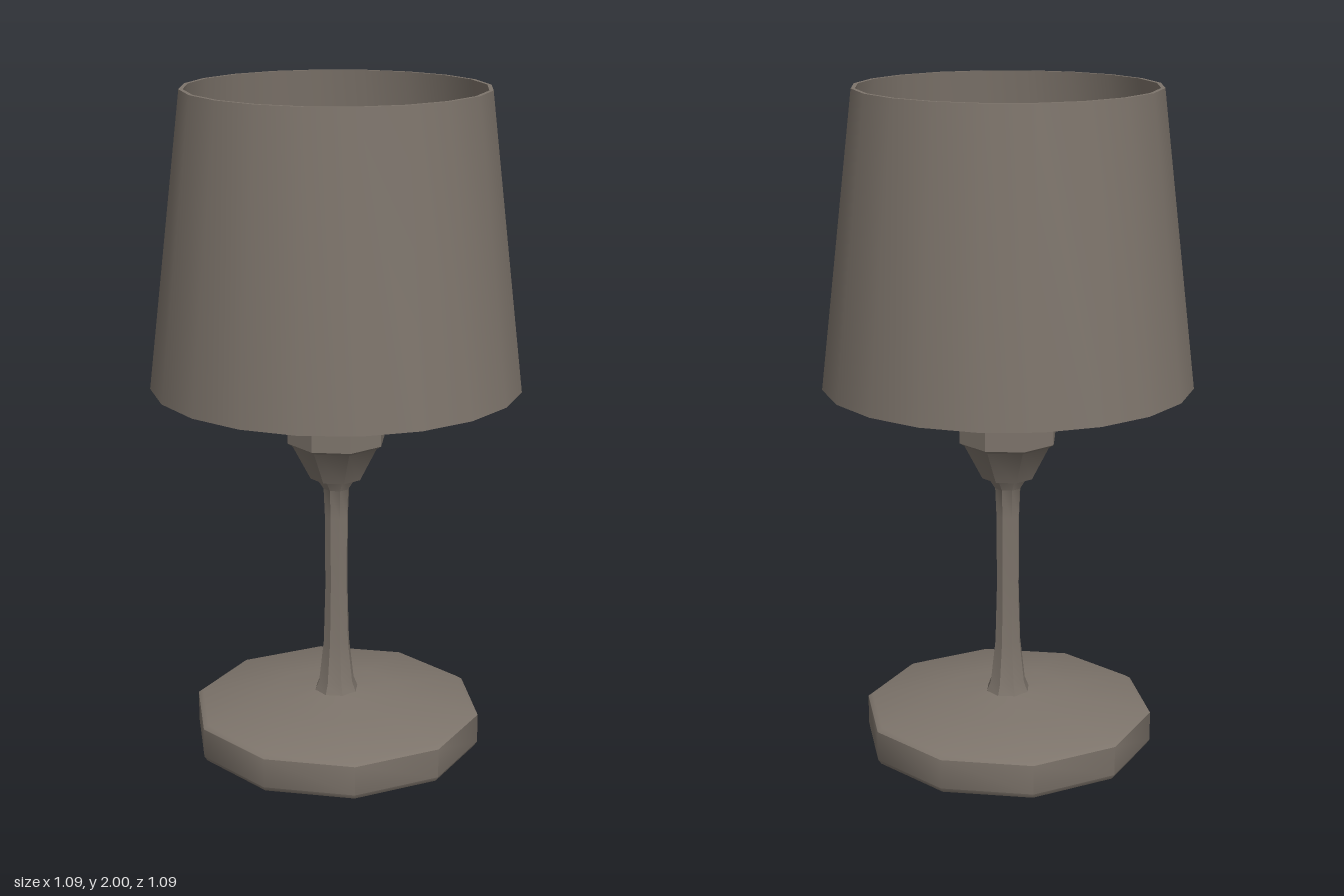
import * as THREE from 'three';
import { toCreasedNormals } from 'three/addons/utils/BufferGeometryUtils.js';

const material = new THREE.MeshStandardMaterial({ color: 0x7d746b, side: THREE.DoubleSide });

// Turned part from a bottom-to-top profile of [radius, height] pairs
function turned(name, profile, sides) {
  const points = profile.map(([r, y]) => new THREE.Vector2(r, y));
  const geometry = toCreasedNormals(new THREE.LatheGeometry(points, sides), 0.7);
  const mesh = new THREE.Mesh(geometry, material);
  mesh.name = name;
  return mesh;
}

export function createModel() {
  const lamp = new THREE.Group();
  lamp.name = 'tableLamp';

  // Heavy ten-sided foot with a gently sloping top
  lamp.add(turned('base', [
    [0, 0], [0.43, 0], [0.44, 0.015], [0.44, 0.105], [0.425, 0.115], [0.2, 0.138], [0.06, 0.16], [0, 0.16],
  ], 10));

  // Slim stem flaring into the foot and the cup
  lamp.add(turned('stem', [
    [0.075, 0.14], [0.055, 0.19], [0.04, 0.32], [0.035, 0.5], [0.036, 0.72], [0.04, 0.81], [0.072, 0.86],
  ], 8));

  // Stepped cup below the shade
  lamp.add(turned('cup', [
    [0, 0.845], [0.08, 0.845], [0.135, 0.95], [0.15, 0.96], [0.15, 1.03], [0, 1.03],
  ], 8));

  // Rod carrying the bulb inside the shade
  lamp.add(turned('rod', [[0.037, 1.02], [0.037, 1.42]], 8));
  lamp.add(turned('bulb', [
    [0, 1.4], [0.04, 1.4], [0.075, 1.47], [0.075, 1.55], [0.045, 1.62], [0, 1.64],
  ], 6));

  // Thin tapered shade, open at both ends
  lamp.add(turned('shade', [
    [0.533, 1.135], [0.547, 1.135], [0.445, 2], [0.433, 2], [0.533, 1.135],
  ], 20));

  return lamp;
}
